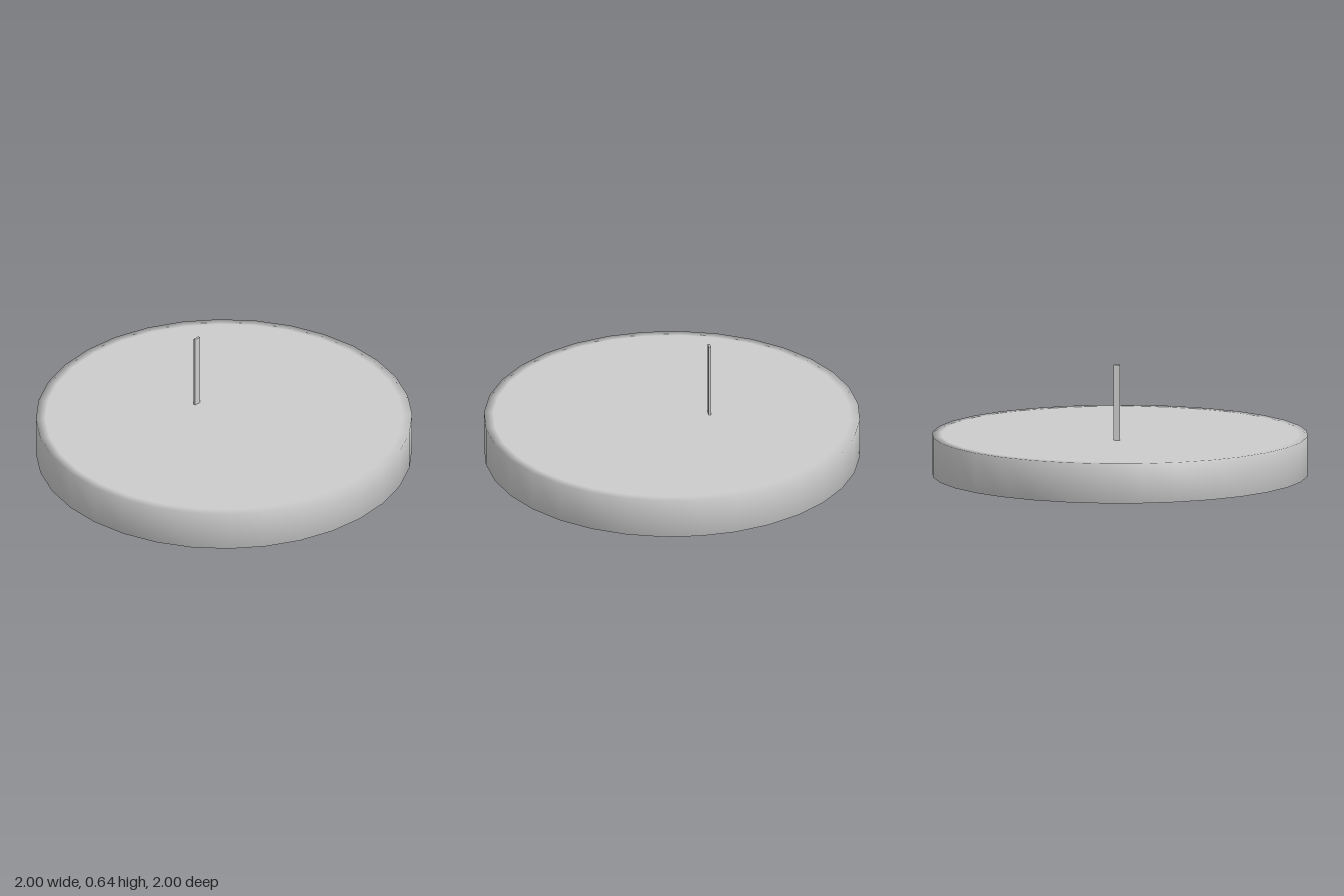
import * as THREE from 'three';

export function createModel() {
  const model = new THREE.Group();
  const grey = new THREE.MeshStandardMaterial({ color: 0xcccccc });
  grey.name = 'light grey';

  function add(name, geometry, x = 0, y = 0, z = 0) {
    const mesh = new THREE.Mesh(geometry, grey);
    mesh.name = name;
    mesh.position.set(x, y, z);
    model.add(mesh);
    return mesh;
  }

  // Clock case: 32-sided drum, shaded softly from wall to face and to rear lip
  const SIDES = 32, BASE = 0.024, TOP = 0.238;
  const profile = [[0.94, BASE], [1, BASE], [1, TOP], [0.95, TOP], [0, TOP]]
    .map(([r, y]) => new THREE.Vector2(r, y));
  add('clockCase', new THREE.LatheGeometry(profile, SIDES));

  // Rear panel, set just inside the lip
  const lip = [[0.94, BASE + 0.008], [0.94, BASE]].map(([r, y]) => new THREE.Vector2(r, y));
  add('rearLipEdge', new THREE.LatheGeometry(lip, SIDES));
  const panel = new THREE.CircleGeometry(0.94, SIDES);
  panel.rotateX(Math.PI / 2);
  add('rearPanel', panel, 0, BASE + 0.008, 0);

  // Two hands sharing one pivot: one upright through the face, one lying to the side
  const WIDTH = 0.036, THICK = 0.012, HAND_Z = -0.2, PIVOT_Y = WIDTH / 2;
  const hands = [['minuteHand', 0.625, 0], ['hourHand', 0.435, Math.PI / 2]];
  for (const [name, length, angle] of hands) {
    const hand = new THREE.BoxGeometry(WIDTH, length, THICK);
    hand.translate(0, length / 2, 0);
    add(name, hand, 0, PIVOT_Y, HAND_Z).rotation.z = angle;
  }

  return model;
}
